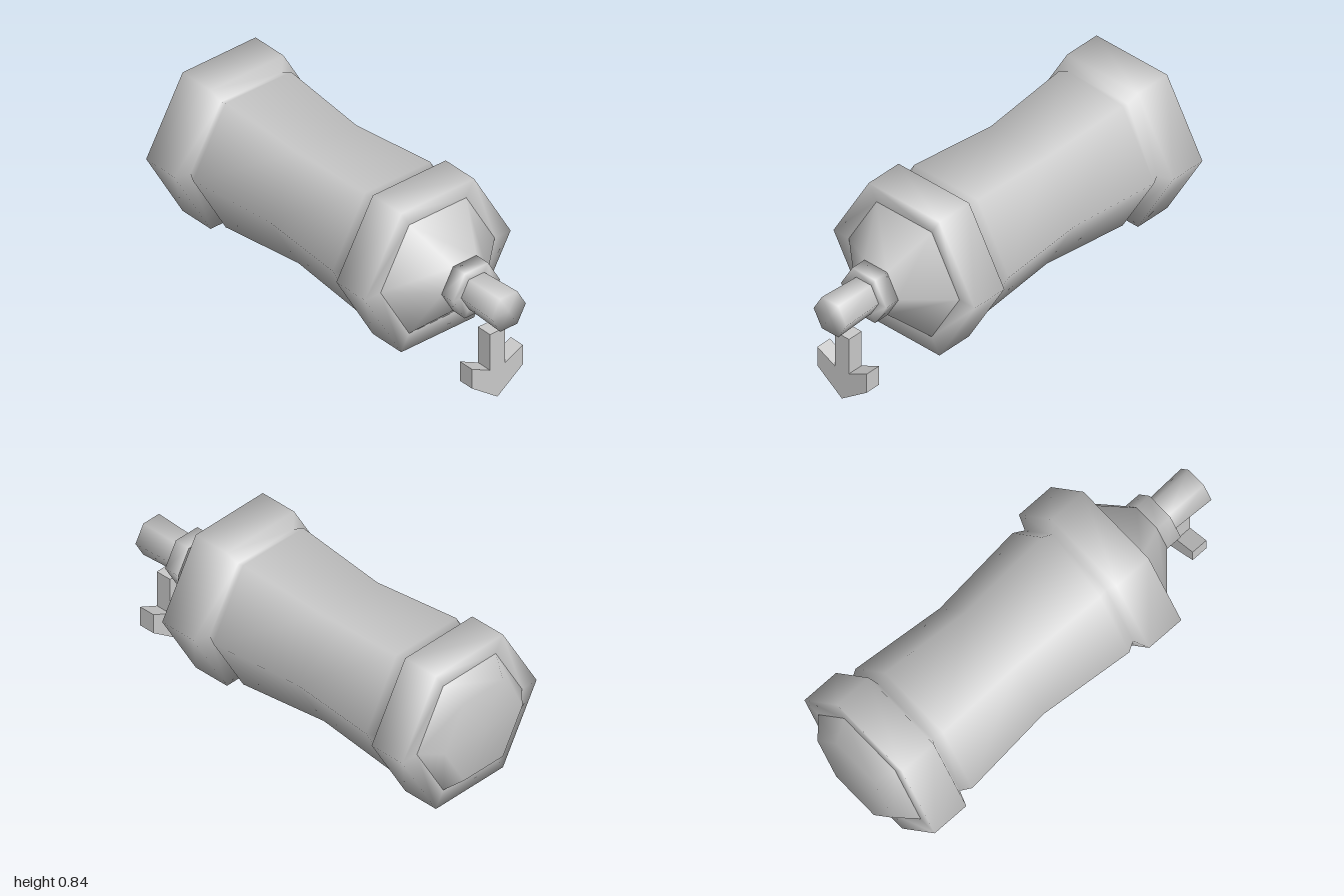
import * as THREE from 'three';

const AXIS_Y = 0.48;
const grey = new THREE.MeshStandardMaterial({ color: 0xcccccc, side: THREE.DoubleSide });
const flatGrey = new THREE.MeshStandardMaterial({ color: 0xcccccc, flatShading: true });

// Six-sided turned part lying along x; profile is [x, corner radius] pairs
function turned(name, profile) {
  const points = profile.map(([x, r]) => new THREE.Vector2(r, x));
  const geometry = new THREE.LatheGeometry(points, 6);
  geometry.rotateZ(-Math.PI / 2);
  geometry.translate(0, AXIS_Y, 0);
  const mesh = new THREE.Mesh(geometry, grey);
  mesh.name = name;
  return mesh;
}

// Flat arrow pointing down, with barbs, extruded along x
function pointer() {
  const half = [[0.042, 0.34], [0.042, 0.155], [0.145, 0.205], [0.145, 0.105]];
  const outline = [
    ...half,
    [0, 0],
    ...half.map(([z, y]) => [-z, y]).reverse(),
  ].map(([z, y]) => new THREE.Vector2(z, y));
  const geometry = new THREE.ExtrudeGeometry(new THREE.Shape(outline), { depth: 0.08, bevelEnabled: false });
  geometry.rotateY(Math.PI / 2);
  geometry.translate(0.845, 0, 0);
  const mesh = new THREE.Mesh(geometry, flatGrey);
  mesh.name = 'arrowPointer';
  return mesh;
}

export function createModel() {
  const group = new THREE.Group();
  group.name = 'canister';
  group.add(
    // Sloped rear end
    turned('rearCap', [[-1, 0], [-1, 0.24], [-0.915, 0.325]]),
    // Waisted barrel between two raised bands
    turned('body', [
      [-0.915, 0.325], [-0.915, 0.415], [-0.73, 0.415], [-0.703, 0.345],
      [-0.655, 0.372], [-0.2, 0.33], [0.265, 0.372], [0.312, 0.345],
      [0.342, 0.415], [0.53, 0.415], [0.53, 0.325],
    ]),
    // Front cone, collar and outlet
    turned('frontCone', [[0.53, 0.325], [0.71, 0.13]]),
    turned('collar', [[0.71, 0], [0.71, 0.133], [0.787, 0.133], [0.787, 0.088]]),
    turned('nozzle', [[0.787, 0.088], [1, 0.097], [1, 0]]),
    pointer(),
  );
  return group;
}
